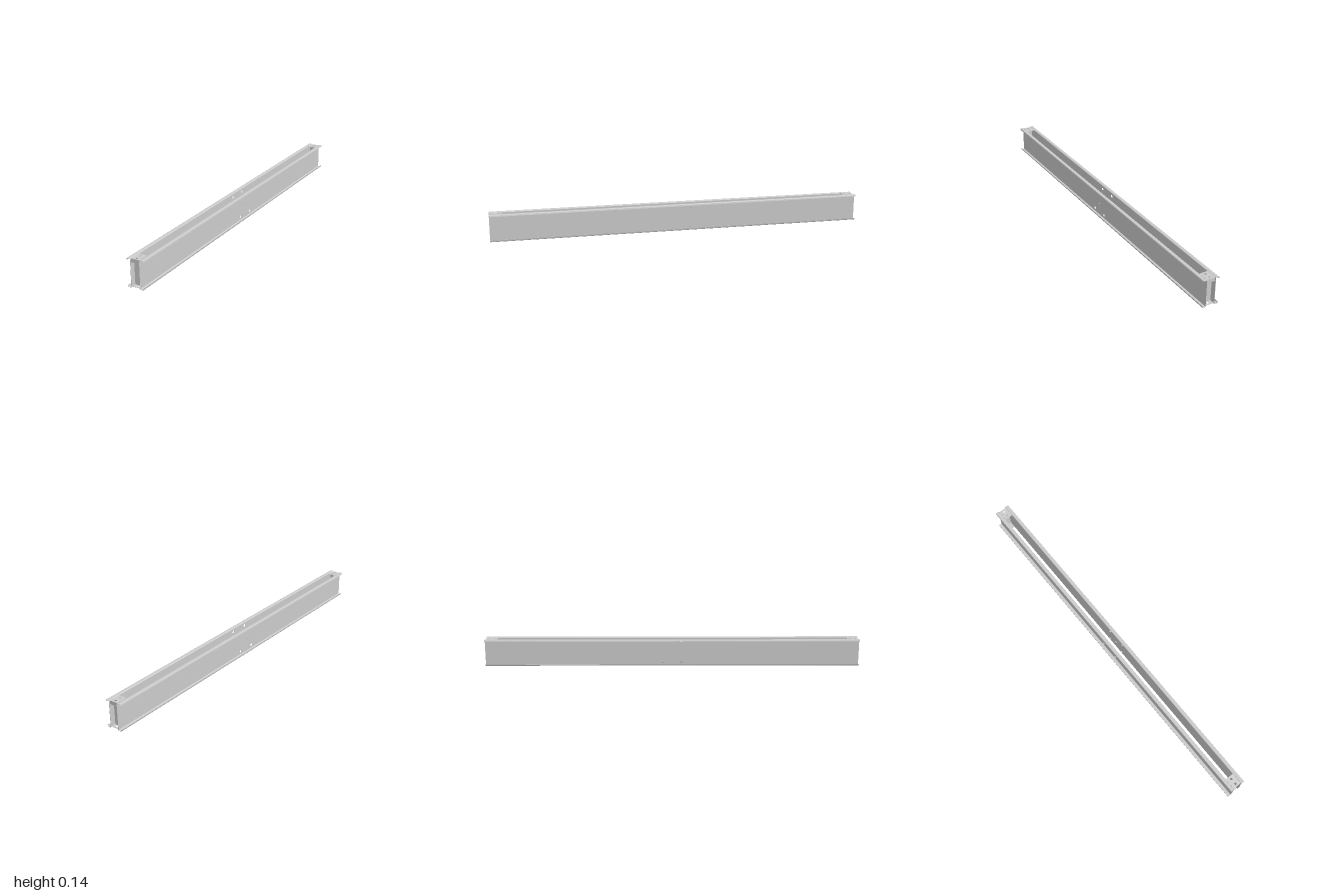
import * as THREE from 'three';
import { toCreasedNormals } from 'three/addons/utils/BufferGeometryUtils.js';

const H = 0.142, T = 0.0015, X0 = 0.0225, X1 = 0.0425, R = 0.004;
const material = new THREE.MeshStandardMaterial({ color: 0xcccccc });

function plate(width, height, depth, holes = [], radius = 0.005) {
  // Sheet in the XY plane, centred, with round holes [x, y]
  const s = new THREE.Shape();
  s.moveTo(-width / 2, -height / 2).lineTo(width / 2, -height / 2);
  s.lineTo(width / 2, height / 2).lineTo(-width / 2, height / 2).closePath();
  for (const [x, y] of holes) {
    const p = new THREE.Path();
    p.absarc(x, y, radius, 0, Math.PI * 2, true);
    s.holes.push(p);
  }
  const g = new THREE.ExtrudeGeometry(s, { depth, bevelEnabled: false, curveSegments: 12 });
  return g.translate(0, 0, -depth / 2);
}

function add(parent, name, geometry, x = 0, y = 0, z = 0) {
  const m = new THREE.Mesh(geometry, material);
  m.name = name;
  m.position.set(x, y, z);
  parent.add(m);
  return m;
}

// Bent flange with a rolled corner at the web and a turned-down lip
function flangeGeometry() {
  const y = H - R, a = X0 + R, b = X1 - R, P = Math.PI;
  const s = new THREE.Shape();
  s.moveTo(X0, y);
  s.absarc(a, y, R, P, P / 2, true);
  s.absarc(b, y, R, P / 2, 0, true);
  s.lineTo(X1, y - 0.005);
  s.lineTo(X1 - T, y - 0.005);
  s.absarc(b, y, R - T, 0, P / 2, false);
  s.absarc(a, y, R - T, P / 2, P, false);
  s.closePath();
  const g = new THREE.ExtrudeGeometry(s, { depth: 2, bevelEnabled: false, curveSegments: 5 });
  return toCreasedNormals(g.translate(0, 0, -1), 0.6);
}

function createChannel(name) {
  const g = new THREE.Group();
  g.name = name;
  // Web with four corner holes and one centre hole
  const holes = [[0, 0]];
  for (const z of [-0.05, 0.05]) for (const y of [-0.051, 0.051]) holes.push([z, y]);
  const web = plate(2, H - 2 * R, T, holes, 0.0075).rotateY(Math.PI / 2);
  add(g, 'channelWeb', web, X0 + T / 2, H / 2, 0);
  const flange = flangeGeometry();
  add(g, 'topFlange', flange);
  add(g, 'bottomFlange', flange, 0, H, 0).rotation.x = Math.PI;
  return g;
}

// Folded spacer holding the two channels apart at one end
function createEndBracket(name) {
  const g = new THREE.Group();
  g.name = name;
  const w = X0 * 2;
  const top = plate(w, 0.06, T, [[0, 0.014], [0, -0.016]], 0.006).rotateX(-Math.PI / 2);
  add(g, 'bracketTop', top, 0, H - 0.002, 0.965);
  add(g, 'bracketLip', plate(w, 0.018, T), 0, H - 0.011, 0.995 - T / 2);
  add(g, 'bracketWeb', plate(w, H - 0.006, T), 0, H / 2, 0.97);
  const bottom = plate(w, 0.06, T, [[0, 0.014], [0, -0.016]], 0.006).rotateX(-Math.PI / 2);
  add(g, 'bracketBottom', bottom, 0, 0.004, 0.965);
  return g;
}

export function createModel() {
  const model = new THREE.Group();
  model.name = 'doubleChannelBeam';
  // Two channels back to back
  const left = createChannel('leftChannel');
  const right = createChannel('rightChannel');
  right.rotation.y = Math.PI;
  // Brackets at both ends
  const front = createEndBracket('frontBracket');
  const back = createEndBracket('backBracket');
  back.rotation.y = Math.PI;
  model.add(left, right, front, back);
  return model;
}
